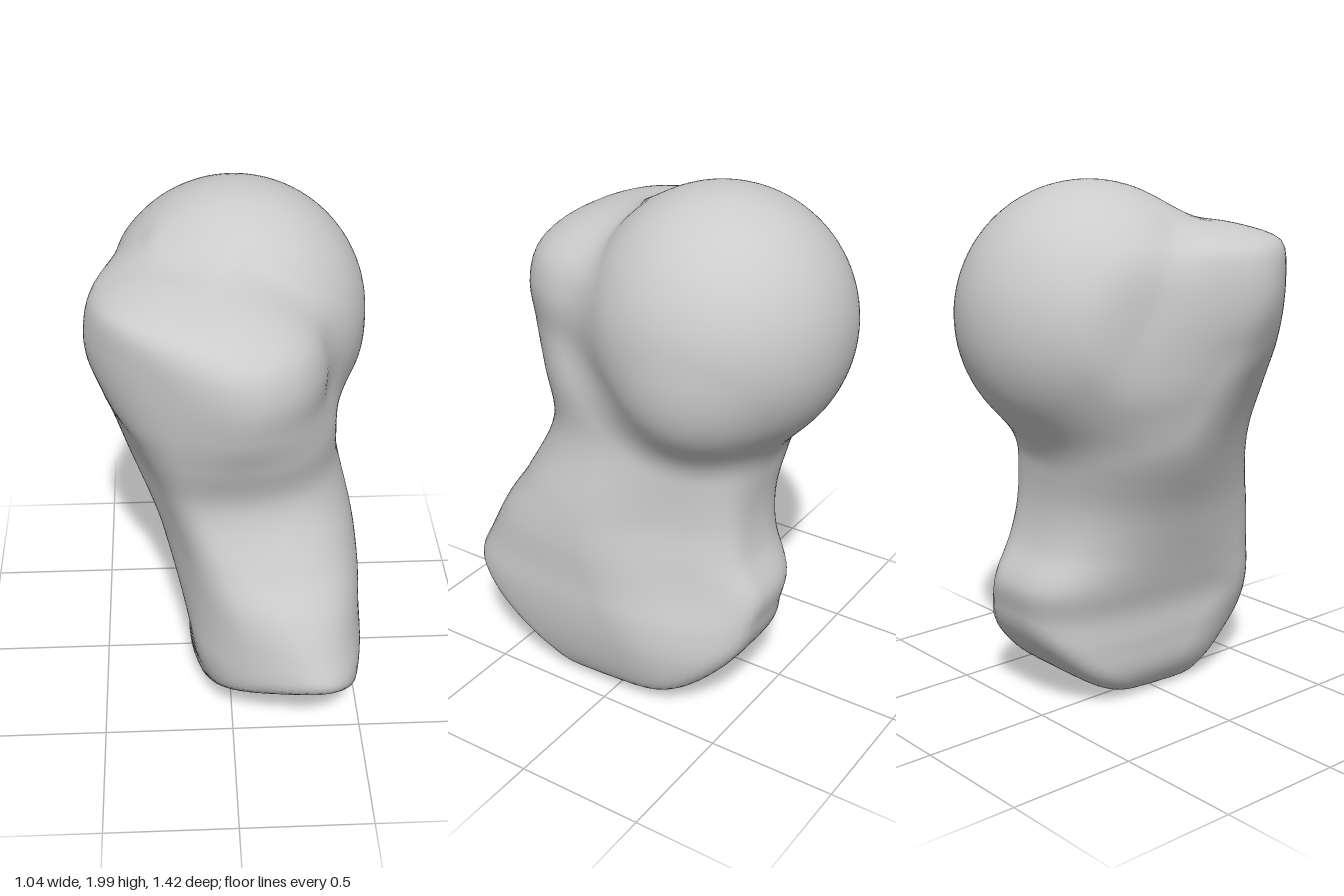
import * as THREE from 'three';
import { mergeVertices } from 'three/addons/utils/BufferGeometryUtils.js';

// Shaft cross-sections: height, then left, right, back and front limits,
// then limits along the front-left and back-right diagonals
const sections = [
  [0.00, -0.07, 0.41, -0.44, 0.68, 0.18, 0.45],
  [0.12, -0.145, 0.465, -0.48, 0.72, 0.225, 0.52],
  [0.25, -0.16, 0.495, -0.50, 0.735, 0.27, 0.54],
  [0.38, -0.16, 0.505, -0.515, 0.74, 0.315, 0.52],
  [0.50, -0.19, 0.50, -0.53, 0.69, 0.305, 0.485],
  [0.65, -0.235, 0.495, -0.46, 0.62, 0.30, 0.455],
  [0.80, -0.285, 0.475, -0.435, 0.53, 0.31, 0.43],
  [1.05, -0.40, 0.415, -0.46, 0.445, 0.36, 0.445],
  [1.25, -0.45, 0.40, -0.48, 0.505, 0.43, 0.50],
  [1.40, -0.475, 0.36, -0.42, 0.565, 0.50, 0.56],
  [1.58, -0.535, 0.345, -0.30, 0.595, 0.54, 0.60],
  [1.70, -0.51, 0.29, -0.25, 0.55, 0.54, 0.60],
  [1.78, -0.45, 0.18, -0.20, 0.44, 0.54, 0.60],
  [1.86, -0.27, 0.00, -0.10, 0.20, 0.54, 0.60],
];
const limits = new THREE.CubicInterpolant(
  sections.map((s) => s[0]), sections.flatMap((s) => s.slice(1)), 6);

const headCentre = new THREE.Vector3(0.035, 1.507, -0.225);
const neckCentre = new THREE.Vector3(0.2, 1.385, -0.25);

function smoothMin(a, b, k) {
  const h = Math.max(k - Math.abs(a - b), 0) / k;
  return Math.min(a, b) - h * h * k * 0.25;
}
const smoothMax = (a, b, k) => -smoothMin(-a, -b, k);

// Shaft and tubercle: rounded-rectangle sections, squarer towards the foot
function shaft(p) {
  const [l, r, b, f, frontLeft, backRight] = limits.evaluate(THREE.MathUtils.clamp(p.y, 0, 1.86));
  const hx = (r - l) / 2, hz = (f - b) / 2;
  const e = THREE.MathUtils.lerp(3.2, 2.45, THREE.MathUtils.smoothstep(p.y, 0.3, 1.0));
  const q = Math.pow(Math.abs((p.x - (l + r) / 2) / hx), e)
    + Math.pow(Math.abs((p.z - (b + f) / 2) / hz), e);
  let d = (Math.pow(q, 1 / e) - 1) * Math.min(hx, hz);
  d = smoothMax(d, p.y - 1.845, 0.05);
  // Rounded-off diagonal corners
  const diagonal = p.x * 0.906 - p.z * 0.423;
  d = smoothMax(d, -diagonal - frontLeft, 0.06);
  d = smoothMax(d, diagonal - backRight, 0.06);
  // Slanting flats on the front and side, towards -x
  const reach = THREE.MathUtils.lerp(0.49, 0.54, p.y / 1.6);
  d = smoothMax(d, p.z * 0.85 - p.x * 0.53 - reach, 0.1);
  d = smoothMax(d, -p.x * 0.956 - p.z * 0.292 - 0.475, 0.06);
  // Bevelled foot: front cut, tilted base, back cut
  d = smoothMax(d, (p.z - 0.2) * 0.58 - (p.y - 0.01) * 0.815, 0.05);
  d = smoothMax(d, 0.012 - p.y + (0.2 - p.z) * 0.07 + (p.x - 0.07) * 0.06, 0.04);
  return smoothMax(d, -(p.z + 0.25) * 0.64 - (p.y - 0.05) * 0.77, 0.08);
}

// Round head, fuller below on one side and flattened behind the tubercle
function head(p) {
  const d = smoothMin(p.distanceTo(headCentre) - 0.493, p.distanceTo(neckCentre) - 0.325, 0.04);
  return smoothMax(d, -p.x * 0.985 - p.z * 0.17 - 0.46, 0.05);
}

const bone = (p) => smoothMin(shaft(p), head(p), 0.1);

// Push each vertex of a capsule out from its axis until it meets the surface
function boneGeometry() {
  const low = new THREE.Vector3(0.16, 0.36, 0.08);
  const high = new THREE.Vector3(-0.02, 1.45, -0.05);
  const half = 0.5;
  const geometry = new THREE.CapsuleGeometry(0.2, half * 2, 32, 120, 56);
  const pos = geometry.attributes.position;
  const start = new THREE.Vector3(), dir = new THREE.Vector3(), p = new THREE.Vector3();
  for (let i = 0; i < pos.count; i++) {
    dir.fromBufferAttribute(pos, i);
    const y = THREE.MathUtils.clamp(dir.y, -half, half);
    start.lerpVectors(low, high, y + half);
    dir.y -= y;
    dir.normalize();
    let t = 0.05;
    while (t < 1.5 && bone(p.copy(start).addScaledVector(dir, t)) < 0) t += 0.02;
    let inside = t - 0.02, outside = t;
    for (let n = 0; n < 12; n++) {
      const mid = (inside + outside) / 2;
      if (bone(p.copy(start).addScaledVector(dir, mid)) < 0) inside = mid;
      else outside = mid;
    }
    p.copy(start).addScaledVector(dir, inside);
    pos.setXYZ(i, p.x, p.y, p.z);
  }
  geometry.deleteAttribute('uv');
  geometry.deleteAttribute('normal');
  const welded = mergeVertices(geometry, 1e-4);
  welded.computeVertexNormals();
  return welded;
}

export function createModel() {
  const model = new THREE.Group();
  model.name = 'boneEnd';
  const mesh = new THREE.Mesh(boneGeometry(), new THREE.MeshStandardMaterial({ color: 0xcccccc }));
  mesh.name = 'headAndShaft';
  model.add(mesh);
  return model;
}
